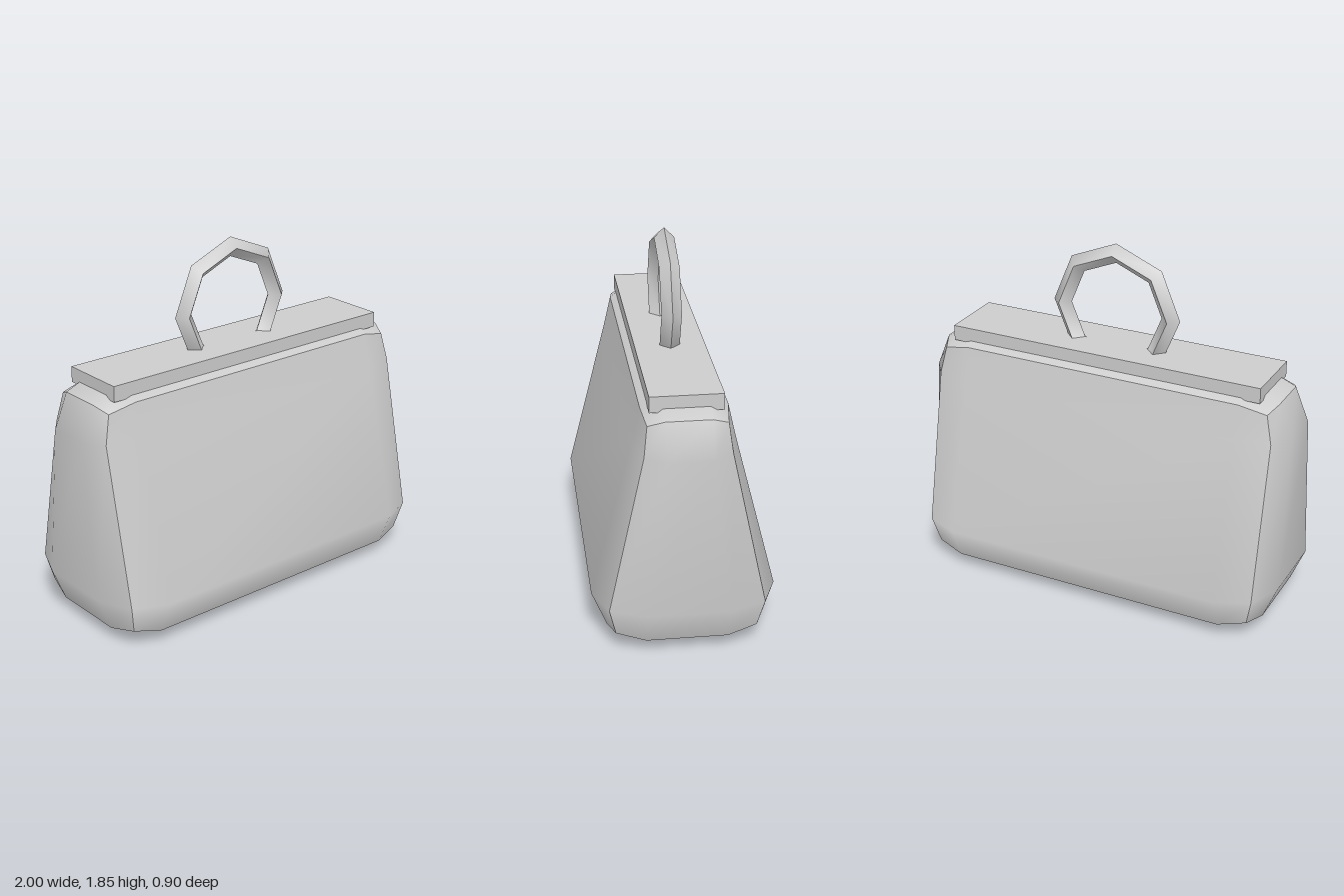
import * as THREE from 'three';
import { toCreasedNormals } from 'three/addons/utils/BufferGeometryUtils.js';

const TOP_TAPER = 0.55;

// Bevelled box: a 3x3 grid per side, whose outer rows wrap around the corner radius
function bevelledBox(width, height, depth, radius) {
  const geometry = new THREE.BoxGeometry(1, 1, 1, 3, 3, 3);
  const pos = geometry.attributes.position;
  const inner = new THREE.Vector3(width, height, depth).multiplyScalar(0.5).subScalar(radius);
  const p = new THREE.Vector3();
  for (let i = 0; i < pos.count; i++) {
    p.fromBufferAttribute(pos, i);
    const sign = new THREE.Vector3(Math.sign(p.x), Math.sign(p.y), Math.sign(p.z));
    const offset = p.clone().addScaledVector(sign, -1 / 6);
    for (const axis of ['x', 'y', 'z']) if (Math.abs(offset[axis]) < 1e-4) offset[axis] = 0;
    p.copy(sign).multiply(inner).addScaledVector(offset.normalize(), radius);
    pos.setXYZ(i, p.x, p.y, p.z);
  }
  return geometry;
}

export function createModel() {
  const group = new THREE.Group();
  const grey = new THREE.MeshStandardMaterial({ color: 0xcccccc });
  grey.name = 'light grey';

  const add = (name, geometry, y) => {
    const mesh = new THREE.Mesh(geometry, grey);
    mesh.name = name;
    mesh.position.y = y;
    group.add(mesh);
  };

  // Bag body, narrowed front to back in its upper half
  const body = bevelledBox(2, 1.3, 0.9, 0.25);
  const pos = body.attributes.position;
  for (let i = 0; i < pos.count; i++) {
    if (pos.getY(i) > 0) pos.setZ(i, pos.getZ(i) * TOP_TAPER);
  }
  body.computeVertexNormals();
  add('bagBody', body, 0.65);

  // Clasp bar along the top
  add('claspBar', new THREE.BoxGeometry(1.7, 0.08, 0.35), 1.28);

  // Eight-sided ring handle with a diamond section, its base sunk into the bag
  const ring = new THREE.TorusGeometry(0.3, 0.05, 4, 8);
  add('handle', toCreasedNormals(ring, 0.7), 1.5);

  return group;
}
